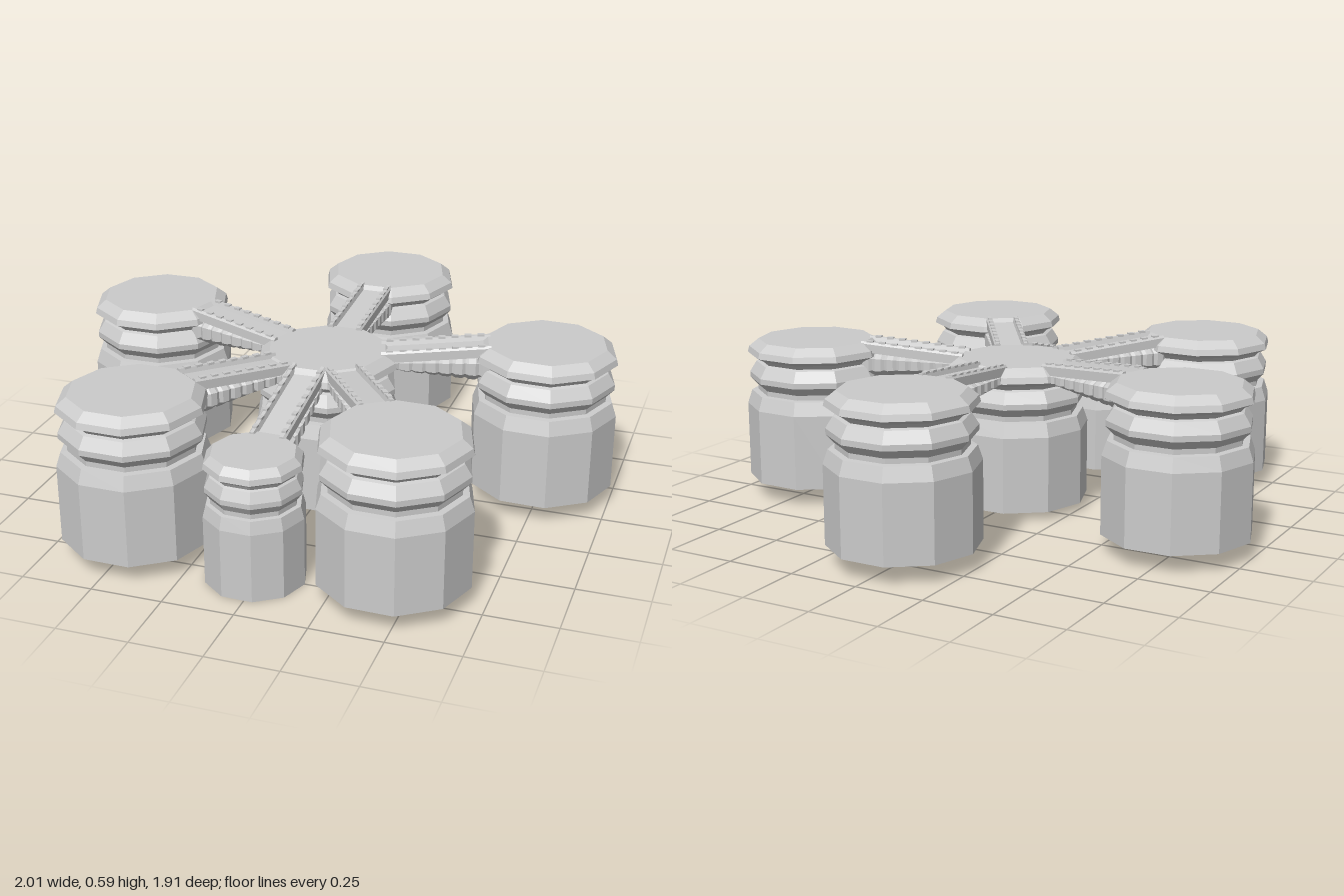
import * as THREE from 'three';

const mat = new THREE.MeshStandardMaterial({ color: 0xcccccc, flatShading: true, side: THREE.DoubleSide });
const HUB = { x: 0, z: 0.06, base: 0.03, top: 0.55 };

function add(parent, name, geometry) {
  const mesh = new THREE.Mesh(geometry, mat);
  mesh.name = name;
  parent.add(mesh);
  return mesh;
}

// Ten-sided drum, open at the bottom, with a stepped neck and two bulging rings
function makeTower(name, scaleXZ, height) {
  const profile = [
    [0.262, 0], [0.262, 0.275], [0.245, 0.325], [0.222, 0.327], [0.222, 0.345],
    [0.25, 0.375], [0.25, 0.395], [0.225, 0.435], [0.212, 0.44], [0.225, 0.455],
    [0.256, 0.47], [0.25, 0.492], [0.215, 0.52], [0, 0.52],
  ].map(([r, y]) => new THREE.Vector2(r, y));
  const group = new THREE.Group();
  group.name = name;
  const geometry = new THREE.LatheGeometry(profile, 10);
  geometry.rotateY(Math.PI / 10);
  geometry.scale(scaleXZ, height / 0.52, scaleXZ);
  add(group, 'ringedDrum', geometry);
  return group;
}

// Walkway running along local +z, rising or falling from the hub to a tower
function makeArm(endTop) {
  const z0 = 0.19, z1 = 0.575, startTop = 0.56;
  const topAt = (z) => startTop + (endTop - startTop) * (z - z0) / (z1 - z0);
  const group = new THREE.Group();
  group.name = 'arm';

  // Shallow channel with a raised rail on each edge
  const shape = new THREE.Shape();
  [[-0.065, -0.04], [0.065, -0.04], [0.065, -0.008], [0.058, 0], [0.046, 0], [0.04, -0.018],
    [-0.04, -0.018], [-0.046, 0], [-0.058, 0], [-0.065, -0.008]]
    .forEach(([x, y], i) => (i ? shape.lineTo(x, y) : shape.moveTo(x, y)));
  shape.closePath();
  const deck = new THREE.ExtrudeGeometry(shape, { depth: z1 - z0, bevelEnabled: false });
  deck.translate(0, 0, z0);
  const p = deck.attributes.position;
  for (let i = 0; i < p.count; i++) p.setY(i, p.getY(i) + topAt(p.getZ(i)));
  deck.computeVertexNormals();
  add(group, 'channelDeck', deck);

  // Corrugated hose under the deck, deeper towards the tower
  const ribs = 9, points = [];
  for (let i = 0; i <= ribs; i++) {
    const z = 0.16 + (0.42 * i) / ribs;
    points.push(new THREE.Vector2(0.9, z), new THREE.Vector2(1, z + 0.012), new THREE.Vector2(1, z + 0.035));
  }
  const hose = new THREE.LatheGeometry(points, 8, Math.PI / 8);
  hose.rotateX(Math.PI / 2);
  const q = hose.attributes.position;
  for (let i = 0; i < q.count; i++) {
    const z = q.getZ(i), t = (z - z0) / (z1 - z0);
    const depth = 0.055 + 0.075 * t;
    q.setX(i, q.getX(i) * (0.072 + 0.006 * t));
    q.setY(i, topAt(z) - 0.022 - depth * (1 - q.getY(i)) / 2);
  }
  hose.computeVertexNormals();
  add(group, 'corrugatedHose', hose);

  // Small studs along the rails
  for (const side of [-1, 1]) {
    for (let i = 0; i < 8; i++) {
      const z = z0 + 0.03 + i * 0.046;
      const stud = add(group, 'railStud', new THREE.BoxGeometry(0.016, 0.008, 0.024));
      stud.position.set(side * 0.052, topAt(z), z);
    }
  }
  return group;
}

export function createModel() {
  const model = new THREE.Group();
  model.name = 'towerCluster';

  const hub = makeTower('hubTower', 1, HUB.top - HUB.base);
  hub.position.set(HUB.x, HUB.base, HUB.z);
  model.add(hub);

  // Outer towers: name, x, z, base, top, width scale
  const towers = [
    ['backTower', 0, -0.71, 0.065, 0.585, 1],
    ['leftTower', 0.742, -0.15, 0.065, 0.585, 1],
    ['rightTower', -0.742, -0.172, 0.065, 0.585, 1],
    ['frontLeftTower', 0.44, 0.698, 0.065, 0.585, 1],
    ['frontRightTower', -0.47, 0.685, 0.065, 0.585, 1],
    ['smallFrontTower', -0.02, 0.745, 0, 0.46, 0.66],
  ];
  for (const [name, x, z, base, top, width] of towers) {
    const dx = x - HUB.x, dz = z - HUB.z;
    const spoke = new THREE.Group();
    spoke.name = name + 'Spoke';
    spoke.position.set(HUB.x, 0, HUB.z);
    spoke.rotation.y = Math.atan2(dx, dz);
    const tower = makeTower(name, width, top - base);
    tower.position.set(0, base, Math.hypot(dx, dz));
    spoke.add(tower, makeArm(top + 0.006));
    model.add(spoke);
  }
  return model;
}
